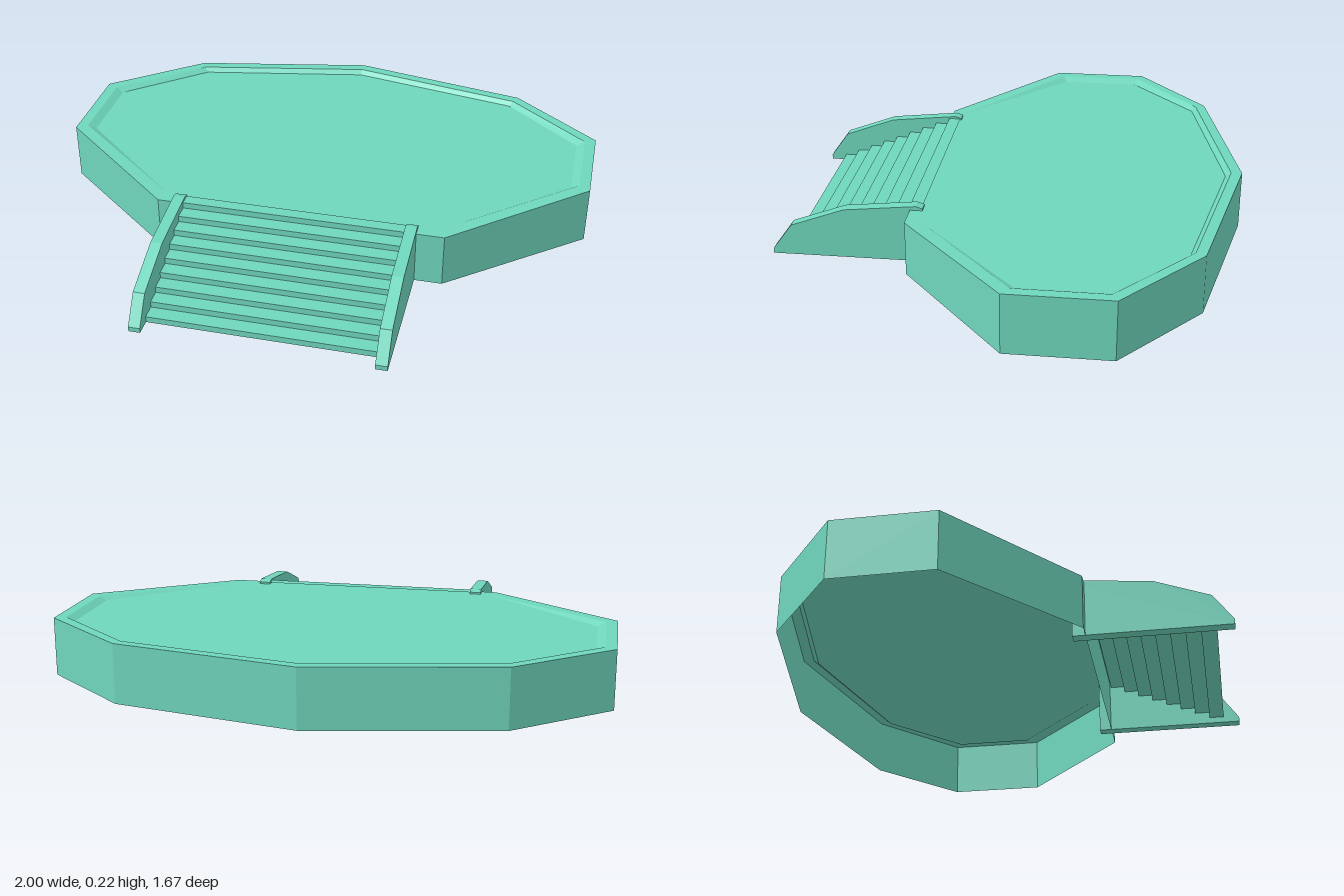
import * as THREE from 'three';

const material = new THREE.MeshStandardMaterial({ color: 0x6fd6bc, flatShading: true, side: THREE.DoubleSide });

// Half rings listed front to back as [x, y, z]; mirrored into closed loops.
function mirrorRing(half) {
  const back = half.slice(0, -1).reverse().map(([x, y, z]) => [-x, y, z]);
  return [...half, ...back];
}

function quad(out, a, b, c, d) {
  out.push(...a, ...b, ...c, ...a, ...c, ...d);
}

function addMesh(group, name, geometry) {
  const mesh = new THREE.Mesh(geometry, material);
  mesh.name = name;
  group.add(mesh);
  return mesh;
}

function fromTriangles(positions) {
  const geometry = new THREE.BufferGeometry();
  geometry.setAttribute('position', new THREE.Float32BufferAttribute(positions, 3));
  geometry.computeVertexNormals();
  return geometry;
}

// Skin between two loops of equal length
function band(lower, upper) {
  const out = [];
  lower.forEach((p, i) => {
    const j = (i + 1) % lower.length;
    quad(out, p, lower[j], upper[j], upper[i]);
  });
  return fromTriangles(out);
}

export function createModel() {
  const model = new THREE.Group();
  const TOP = 0.215, FLOOR = 0.2;

  // Platform rings; the rim sinks to floor level at the front
  const outer = mirrorRing([[0.525, FLOOR, 0.33], [1, TOP, -0.065], [1, TOP, -0.43], [0.67, TOP, -0.7], [0, TOP, -0.835]]);
  const inner = mirrorRing([[0.5, FLOOR, 0.285], [0.96, TOP, -0.09], [0.96, TOP, -0.41], [0.655, TOP, -0.665], [0, TOP, -0.795]]);
  const edge = mirrorRing([[0.5, FLOOR, 0.285], [0.93, FLOOR, -0.1], [0.93, FLOOR, -0.4], [0.64, FLOOR, -0.65], [0, FLOOR, -0.775]]);
  const base = outer.map(([x, , z]) => [x, 0, z]);

  addMesh(model, 'platformWall', band(base, outer));
  addMesh(model, 'platformRim', band(outer, inner));
  addMesh(model, 'rimBevel', band(inner, edge));

  const floorShape = new THREE.Shape(edge.map(([x, , z]) => new THREE.Vector2(x, -z)));
  const floor = new THREE.ShapeGeometry(floorShape).rotateX(-Math.PI / 2).translate(0, FLOOR, 0);
  addMesh(model, 'platformFloor', floor);

  // Open-backed steps between the side boards
  const stairs = new THREE.Group();
  stairs.name = 'stairs';
  model.add(stairs);
  const left = 0.385, right = -0.43, count = 8;
  const rise = 0.205 / (count + 1), run = 0.055, startZ = 0.775;
  const steps = [];
  for (let i = 0; i <= count; i++) {
    const y0 = i * rise, y1 = y0 + rise, z0 = startZ - i * run;
    const z1 = i === count ? 0.29 : z0 - run;
    quad(steps, [right, y0, z0], [left, y0, z0], [left, y1, z0], [right, y1, z0]);
    quad(steps, [right, y1, z0], [left, y1, z0], [left, y1, z1], [right, y1, z1]);
  }
  addMesh(stairs, 'steps', fromTriangles(steps));

  // Curved side boards, profile drawn as (z, y) and extruded along x
  const profile = [[0.285, 0], [0.835, 0], [0.835, 0.018], [0.765, 0.115], [0.57, 0.187], [0.31, TOP], [0.285, 0.207]];
  const boardShape = new THREE.Shape(profile.map(([z, y]) => new THREE.Vector2(-z, y)));
  for (const [name, x] of [['leftSideBoard', 0.383], ['rightSideBoard', -0.47]]) {
    const board = new THREE.ExtrudeGeometry(boardShape, { depth: 0.042, bevelEnabled: false });
    addMesh(stairs, name, board.rotateY(Math.PI / 2).translate(x, 0, 0));
  }

  return model;
}
